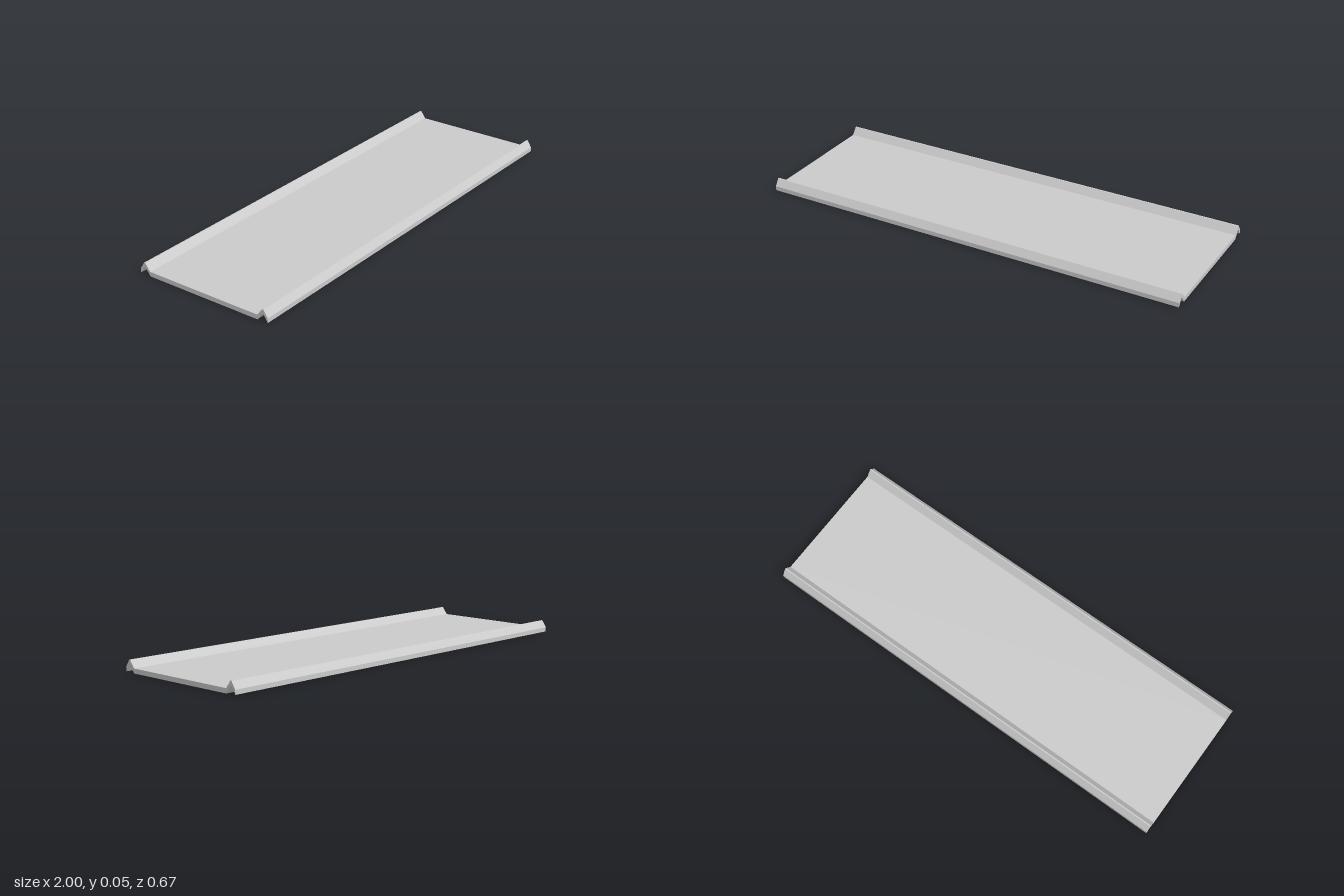
import * as THREE from 'three';

export function createModel() {
  const group = new THREE.Group();
  const length = 2;

  // Upper edge of one half of the cross-section, [distance from centre, height]
  const top = [[0.283, 0.021], [0.308, 0.054], [0.314, 0.054], [0.335, 0.022]];
  // Matching lower edge, from the outer lip back to the flat pan
  const bottom = [[0.335, 0.002], [0.314, 0.034], [0.308, 0.034], [0.283, 0]];
  const half = [...top, ...bottom];

  // Mirror the half profile to get the pan with a folded rib on each side
  const outline = [...half, ...half.map(([d, y]) => [-d, y]).reverse()];
  const profile = new THREE.Shape(outline.map(([d, y]) => new THREE.Vector2(d, y)));

  // Run the profile along x
  const geometry = new THREE.ExtrudeGeometry(profile, { depth: length, bevelEnabled: false });
  geometry.translate(0, 0, -length / 2);
  geometry.rotateY(Math.PI / 2);

  const panel = new THREE.Mesh(
    geometry,
    new THREE.MeshStandardMaterial({ color: 0xcccccc, flatShading: true })
  );
  panel.name = 'ribbedPanel';
  group.add(panel);
  return group;
}
